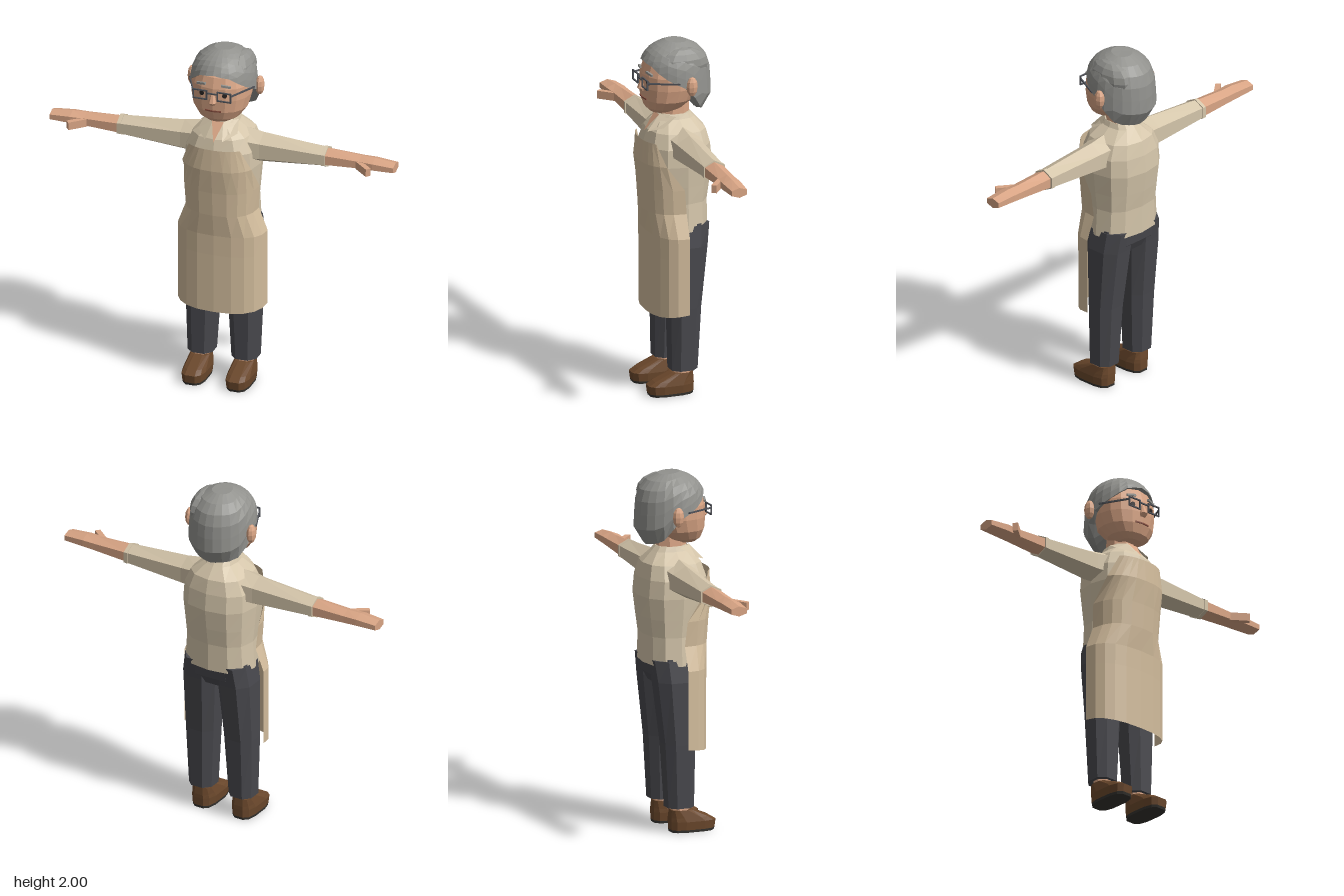
import * as THREE from 'three';

const paint = (name, color, side = THREE.FrontSide) => {
  const m = new THREE.MeshStandardMaterial({ color, side });
  m.name = name;
  return m;
};

// Straight interpolation in a table of [key, value] with rising keys
function interp(table, k) {
  let i = 1;
  while (i < table.length - 1 && k > table[i][0]) i++;
  const [a, va] = table[i - 1], [b, vb] = table[i];
  return va + (vb - va) * Math.min(1, Math.max(0, (k - a) / (b - a)));
}

const power = (v, p) => Math.sign(v) * Math.abs(v) ** p;

// Rounded cross-section spanning u0..u1 and v0..v1, on axis y (u=x) or x (u=y); v is always z
function section(axis, t, u0, u1, v0, v1, n, p = 1, turn = false) {
  const k = turn ? 1 / Math.cos(Math.PI / n) ** p : 1;
  return Array.from({ length: n }, (_, j) => {
    const a = ((j + (turn ? 0.5 : 0)) / n) * Math.PI * 2;
    const u = (u0 + u1) / 2 + k * (u1 - u0) / 2 * power(Math.cos(a), p);
    const w = k * (v1 - v0) / 2 * power(Math.sin(a), p);
    return axis === 'y' ? [u, t, (v0 + v1) / 2 + w] : [t, u, (v0 + v1) / 2 - w];
  });
}

// Faceted surface from rows of points
function sheet(rows, extra = []) {
  const pos = [];
  for (let i = 0; i < rows.length - 1; i++) {
    for (let j = 0; j < rows[i].length - 1; j++) {
      const a = rows[i][j], b = rows[i + 1][j], c = rows[i][j + 1], d = rows[i + 1][j + 1];
      pos.push(...a, ...b, ...c, ...b, ...d, ...c);
    }
  }
  pos.push(...extra);
  const g = new THREE.BufferGeometry();
  g.setAttribute('position', new THREE.Float32BufferAttribute(pos, 3));
  g.computeVertexNormals();
  return g;
}

// Closed body through rings, with end caps; s = -1 mirrors it in x
function loft(rings, s = 1) {
  if (s < 0) rings = rings.map(r => r.map(([x, y, z]) => [-x, y, z]).reverse());
  const caps = [];
  const cap = (r, flip) => {
    const c = [0, 1, 2].map(k => r.reduce((sum, p) => sum + p[k], 0) / r.length);
    r.forEach((p, j) => {
      const q = r[(j + 1) % r.length];
      caps.push(...c, ...(flip ? q : p), ...(flip ? p : q));
    });
  };
  cap(rings[0], false);
  cap(rings[rings.length - 1], true);
  return sheet(rings.map(r => [...r, r[0]]), caps);
}

function faceted(g) {
  const f = g.index ? g.toNonIndexed() : g;
  f.computeVertexNormals();
  return f;
}

export function createModel() {
  const model = new THREE.Group();
  model.name = 'apronWoman';
  const skin = paint('skin', 0xd9a585), hairGrey = paint('hairGrey', 0x92928e);
  const shirt = paint('shirtBeige', 0xd4c5aa, THREE.DoubleSide);
  const apronTan = paint('apronTan', 0xd2bc9c, THREE.DoubleSide);
  const trouser = paint('trouserCharcoal', 0x48484d), leather = paint('shoeBrown', 0x6b482c);
  const soleDark = paint('soleDark', 0x35332f), frameGrey = paint('frameGrey', 0x505258);
  const dark = paint('eyeDark', 0x2a2523), lip = paint('lipBrown', 0x854d3e);

  const add = (name, geo, mat, x = 0, y = 0, z = 0) => {
    const m = new THREE.Mesh(geo, mat);
    m.name = name;
    m.position.set(x, y, z);
    model.add(m);
    return m;
  };
  const box = (name, w, h, d, mat, x, y, z) => add(name, new THREE.BoxGeometry(w, h, d), mat, x, y, z);
  // Rectangular bar between two points
  const bar = (name, a, b, w, h, mat) => {
    const p = new THREE.Vector3(...a), q = new THREE.Vector3(...b);
    const m = box(name, w, h, p.distanceTo(q), mat, ...p.clone().add(q).multiplyScalar(0.5).toArray());
    m.lookAt(q);
    return m;
  };
  const body = (rows, n, p, turn) => rows.map(([y, x0, x1, z0, z1]) => section('y', y, x0, x1, z0, z1, n, p, turn));
  const even = rows => rows.map(([y, r, z0, z1]) => [y, -r, r, z0, z1]);

  // Head and neck
  add('head', loft(body(even([
    [1.603, 0.065, 0.02, 0.135], [1.63, 0.115, -0.04, 0.163], [1.68, 0.152, -0.1, 0.18],
    [1.75, 0.168, -0.14, 0.185], [1.82, 0.168, -0.14, 0.182], [1.88, 0.15, -0.13, 0.163],
    [1.94, 0.11, -0.1, 0.11]]), 16, 0.9)), skin);
  add('neck', loft(body(even([[1.53, 0.075, -0.085, 0.085], [1.66, 0.068, -0.08, 0.07]]), 8, 1, true)), skin);
  add('nose', loft(body(even([
    [1.725, 0.016, 0.16, 0.195], [1.742, 0.021, 0.16, 0.209], [1.795, 0.009, 0.16, 0.188]]), 8, 0.8, true)), skin);

  // Bobbed hair: hairline high over the face, dropping behind the ears
  const hairline = [[0, 1.9], [30, 1.882], [60, 1.82], [85, 1.775], [100, 1.75], [110, 1.67], [130, 1.625], [180, 1.6]];
  const hairRadius = [[1.6, 0.145], [1.65, 0.19], [1.7, 0.205], [1.77, 0.201], [1.85, 0.195], [1.9, 0.183],
    [1.95, 0.148], [1.98, 0.1], [2, 0.05]];
  const hairRing = (t, shrink = 1) => Array.from({ length: 24 }, (_, j) => {
    const a = (j / 24) * Math.PI * 2;
    const edge = interp(hairline, THREE.MathUtils.radToDeg(Math.acos(Math.sin(a))));
    const y = edge + (2.003 - edge) * Math.cos(t * Math.PI / 2);
    const r = interp(hairRadius, y) * shrink;
    return [r * 0.93 * Math.cos(a), y, r * Math.sin(a) - 0.005];
  });
  add('hair', loft([hairRing(1, 0.8), ...[1, 0.86, 0.72, 0.58, 0.44, 0.3, 0.15].map(t => hairRing(t))]), hairGrey);
  add('hairSweep', faceted(new THREE.SphereGeometry(1, 10, 8).scale(0.07, 0.098, 0.145)), hairGrey, 0.098, 1.88, -0.02);

  // Glasses rim with a rectangular opening
  const rim = new THREE.Shape([[-0.042, -0.029], [0.042, -0.029], [0.042, 0.029], [-0.042, 0.029]]
    .map(p => new THREE.Vector2(...p)));
  rim.holes.push(new THREE.Path([[-0.035, -0.022], [-0.035, 0.022], [0.035, 0.022], [0.035, -0.022]]
    .map(p => new THREE.Vector2(...p))));
  const rimGeo = new THREE.ExtrudeGeometry(rim, { depth: 0.008, bevelEnabled: false });
  box('glassesBridge', 0.06, 0.007, 0.008, frameGrey, 0, 1.797, 0.196);

  for (const s of [1, -1]) {
    const side = s > 0 ? 'left' : 'right';
    // Face details
    add(side + 'Rim', rimGeo, frameGrey, s * 0.07, 1.785, 0.19);
    bar(side + 'Temple', [s * 0.11, 1.797, 0.192], [s * 0.188, 1.797, 0.03], 0.007, 0.009, frameGrey);
    const eye = add(side + 'Eye', new THREE.CylinderGeometry(0.014, 0.014, 0.009, 8).rotateX(Math.PI / 2),
      dark, s * 0.066, 1.785, 0.173);
    eye.rotation.y = s * 0.2;
    const brow = box(side + 'Brow', 0.055, 0.012, 0.012, hairGrey, s * 0.072, 1.84, 0.168);
    brow.rotation.set(0, s * 0.25, -s * 0.15);
    const mouth = box(side + 'Mouth', 0.047, 0.008, 0.009, lip, s * 0.023, 1.686, 0.178);
    mouth.rotation.y = s * 0.13;
    add(side + 'Ear', faceted(new THREE.SphereGeometry(1, 8, 6).scale(0.026, 0.056, 0.033)), skin, s * 0.197, 1.78, -0.035);

    // Collar flap
    const flap = [[[0.03, 1.588, 0.092], [0.095, 1.58, 0.02]], [[0.05, 1.5, 0.172], [0.115, 1.53, 0.1]]]
      .map(r => r.map(([x, y, z]) => [s * x, y, z]));
    add(side + 'Collar', sheet(s > 0 ? flap : flap.map(r => r.reverse())), shirt);

    // Six-sided arm pieces: x, bottom, top, back, front
    const limb = (name, rows, mat) => add(side + name, loft(rows.map(([x, y0, y1, z0, z1]) =>
      section('x', x, y0, y1, z0 / 0.87, z1 / 0.87, 6)), s), mat);
    limb('Sleeve', [[0.1, 1.33, 1.535, -0.1, 0.09], [0.23, 1.335, 1.513, -0.08, 0.07], [0.59, 1.365, 1.482, -0.064, 0.052]], shirt);
    limb('Cuff', [[0.583, 1.36, 1.488, -0.069, 0.057], [0.605, 1.362, 1.486, -0.068, 0.056]], shirt);
    limb('Forearm', [[0.59, 1.369, 1.478, -0.06, 0.05], [0.8, 1.385, 1.465, -0.053, 0.044]], skin);
    limb('Hand', [[0.8, 1.385, 1.465, -0.053, 0.044], [0.88, 1.39, 1.464, -0.053, 0.05], [1, 1.395, 1.452, -0.046, 0.044]], skin);
    bar(side + 'Thumb', [s * 0.79, 1.422, 0.03], [s * 0.875, 1.418, 0.1], 0.03, 0.045, skin);

    // Leg, ankle and shoe
    add(side + 'TrouserLeg', loft(body([
      [0.14, 0.055, 0.2, -0.08, 0.07], [0.5, 0.034, 0.212, -0.1, 0.076],
      [0.85, 0.008, 0.213, -0.14, 0.09], [0.97, 0.005, 0.195, -0.155, 0.1]], 8, 0.8, true), s), trouser);
    add(side + 'Ankle', loft(body([[0.1, 0.075, 0.181, -0.05, 0.05], [0.16, 0.075, 0.181, -0.05, 0.05]], 8, 1, true), s), skin);
    add(side + 'Shoe', loft(body([
      [0.014, 0.064, 0.192, -0.058, 0.194], [0.06, 0.06, 0.196, -0.06, 0.2],
      [0.082, 0.064, 0.192, -0.06, 0.165], [0.125, 0.072, 0.184, -0.056, 0.062]], 12, 0.65, true), s), leather);
    add(side + 'Sole', loft(body([
      [0, 0.066, 0.19, -0.056, 0.19], [0.014, 0.064, 0.192, -0.058, 0.194]], 12, 0.65, true), s), soleDark);
  }

  // Shirt, open neck and hips
  add('shirtBody', loft(body(even([
    [0.94, 0.205, -0.17, 0.14], [1.1, 0.195, -0.17, 0.14], [1.2, 0.203, -0.185, 0.165], [1.32, 0.213, -0.2, 0.185],
    [1.42, 0.208, -0.19, 0.18], [1.5, 0.17, -0.17, 0.155], [1.56, 0.09, -0.115, 0.108], [1.588, 0.078, -0.09, 0.082]]), 12, 0.8)), shirt);
  add('openNeck', sheet([[[-0.035, 1.585, 0.097], [0.035, 1.585, 0.097]], [[0, 1.49, 0.174], [0, 1.49, 0.174]]]), skin);
  add('hips', loft(body(even([[0.83, 0.14, -0.12, 0.07], [0.88, 0.2, -0.145, 0.09], [0.98, 0.19, -0.155, 0.1]]), 8, 0.8, true)), trouser);

  // Apron wrapped round the front: y, half width, depth, wrap angle, hem dip
  const apronRows = [
    [1.455, 0.205, 0.2, 42, 0], [1.33, 0.222, 0.208, 62, 0], [1.19, 0.213, 0.194, 88, 0], [1.05, 0.204, 0.185, 90, 0],
    [0.92, 0.255, 0.168, 90, 0], [0.8, 0.255, 0.166, 90, 0], [0.48, 0.255, 0.166, 90, 0.025],
  ].map(([y, w, d, wrap, dip]) => Array.from({ length: 11 }, (_, j) => {
    const a = THREE.MathUtils.degToRad(wrap * (j / 5 - 1));
    return [w * power(Math.sin(a), 0.8), y - dip * Math.cos(a), d * power(Math.max(0, Math.cos(a)), 0.8)];
  }));
  add('apron', sheet(apronRows), apronTan);

  return model;
}
